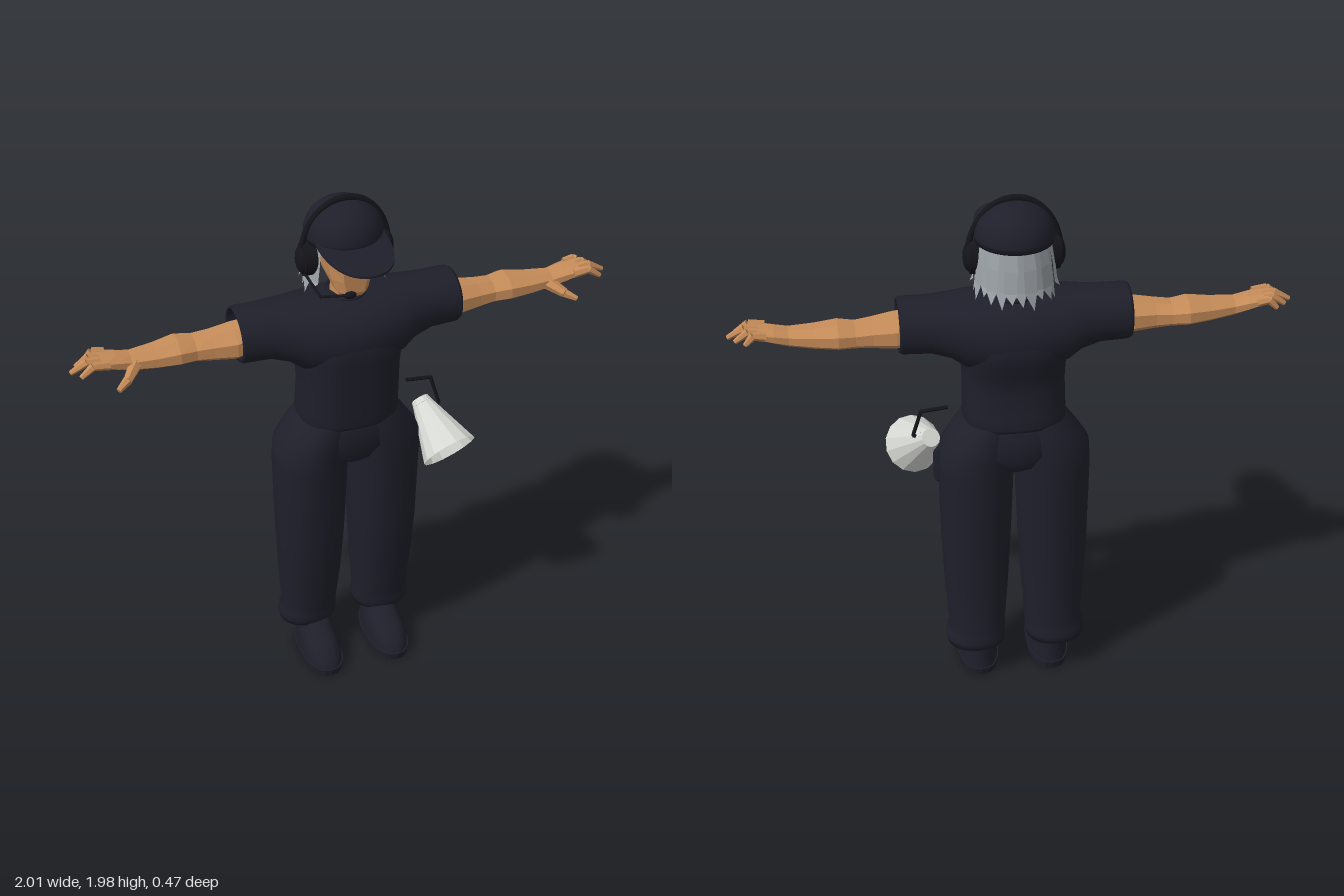
import * as THREE from 'three';

const mat = (name, color, side = THREE.FrontSide) => {
  const m = new THREE.MeshStandardMaterial({ color, side });
  m.name = name;
  return m;
};

// Skin cross-sections [t, a, b, ra, rb] stacked along the x or y axis.
function loft(axis, rows, { n = 24, p = 2, phase = 0, flat = false, start = false, end = false } = {}) {
  const pos = [], idx = [];
  const put = (t, a, b) => (axis === 'y' ? pos.push(a, t, b) : pos.push(t, a, b));
  const pw = v => Math.sign(v) * Math.abs(v) ** (2 / p);
  for (const [t, a, b, ra, rb] of rows)
    for (let j = 0; j < n; j++) {
      const q = phase + j / n * Math.PI * 2;
      put(t, a + ra * pw(Math.cos(q)), b + rb * pw(Math.sin(q)));
    }
  const flip = (axis === 'y') !== (rows.at(-1)[0] < rows[0][0]);
  const tri = (a, b, c) => (flip ? idx.push(a, c, b) : idx.push(a, b, c));
  for (let i = 0; i < rows.length - 1; i++)
    for (let j = 0; j < n; j++) {
      const k = (j + 1) % n, a = i * n, b = a + n;
      tri(a + j, a + k, b + k);
      tri(a + j, b + k, b + j);
    }
  const cap = (i, last) => {
    const c = pos.length / 3;
    put(rows[i][0], rows[i][1], rows[i][2]);
    for (let j = 0; j < n; j++) {
      const k = (j + 1) % n;
      last ? tri(c, i * n + j, i * n + k) : tri(c, i * n + k, i * n + j);
    }
  };
  if (start) cap(0, false);
  if (end) cap(rows.length - 1, true);
  let g = new THREE.BufferGeometry();
  g.setAttribute('position', new THREE.Float32BufferAttribute(pos, 3));
  g.setIndex(idx);
  if (flat) g = g.toNonIndexed();
  g.computeVertexNormals();
  return g;
}

// Tapered flat-sided rod from point a to point b.
function rod(a, b, ra, rb, n = 6, open = false) {
  const A = new THREE.Vector3(...a), d = new THREE.Vector3(...b).sub(A);
  const g = new THREE.CylinderGeometry(rb, ra, d.length(), n, 1, open).toNonIndexed();
  const q = new THREE.Quaternion().setFromUnitVectors(new THREE.Vector3(0, 1, 0), d.clone().normalize());
  g.applyQuaternion(q).translate(...A.addScaledVector(d, 0.5).toArray());
  g.computeVertexNormals();
  return g;
}

export function createModel() {
  const model = new THREE.Group();
  const cloth = mat('navy cloth', 0x1f1f2b);
  const black = mat('black plastic', 0x14141a);
  const skin = mat('skin', 0xc68c59);
  const grey = mat('grey hair', 0x9ba1a6, THREE.DoubleSide);
  const white = mat('horn white', 0xd6d8d3, THREE.DoubleSide);
  const add = (name, geo, m) => {
    const mesh = new THREE.Mesh(geo, m);
    mesh.name = name;
    model.add(mesh);
    return mesh;
  };

  // Shirt: shoulders along x with turned-in sleeve ends, trunk along y
  const half = [[0.33, 1.505, -0.055, 0.086, 0.094], [0.405, 1.505, -0.055, 0.088, 0.096], [0.411, 1.505, -0.055, 0.093, 0.101],
    [0.4, 1.505, -0.055, 0.099, 0.106], [0.3, 1.503, -0.055, 0.1, 0.11], [0.23, 1.493, -0.052, 0.113, 0.125],
    [0.185, 1.477, -0.05, 0.132, 0.142], [0.08, 1.465, -0.046, 0.15, 0.168]];
  const shoulders = [...half.map(([x, ...r]) => [-x, ...r]), [0, 1.463, -0.046, 0.153, 0.172],
    ...half.slice().reverse()];
  add('shirtShoulders', loft('x', shoulders, { p: 2.15, n: 32 }), cloth);
  add('shirtTrunk', loft('y', [[1.115, 0, -0.045, 0.165, 0.13], [1.105, 0, -0.045, 0.178, 0.143], [1.12, 0, -0.045, 0.186, 0.149],
    [1.16, 0, -0.043, 0.186, 0.148], [1.26, 0, -0.032, 0.184, 0.146], [1.33, 0, -0.037, 0.186, 0.156],
    [1.39, 0, -0.045, 0.193, 0.17], [1.44, 0, -0.046, 0.196, 0.175], [1.48, 0, -0.046, 0.18, 0.165]],
    { p: 2.6, n: 40 }), cloth);
  const collar = add('collar', new THREE.TorusGeometry(0.073, 0.01, 8, 24).rotateX(Math.PI / 2), cloth);
  collar.position.set(0, 1.606, -0.055);

  // Trousers
  add('hips', loft('y', [[0.9, 0, -0.055, 0.03, 0.07], [0.94, 0, -0.055, 0.11, 0.125], [1.0, 0, -0.052, 0.2, 0.15],
    [1.06, 0, -0.048, 0.21, 0.149], [1.1, 0, -0.046, 0.19, 0.143], [1.125, 0, -0.045, 0.175, 0.135]],
    { p: 2.2, n: 32, start: true, end: true }), cloth);
  for (const s of [1, -1]) {
    const side = s > 0 ? 'left' : 'right';
    add(side + 'TrouserLeg', loft('y', [[0.14, s * 0.152, -0.09, 0.108, 0.095], [0.165, s * 0.152, -0.085, 0.114, 0.1],
      [0.19, s * 0.15, -0.083, 0.112, 0.1], [0.22, s * 0.146, -0.08, 0.107, 0.097], [0.4, s * 0.145, -0.065, 0.12, 0.115],
      [0.6, s * 0.144, -0.058, 0.13, 0.132], [0.8, s * 0.142, -0.056, 0.136, 0.143], [0.92, s * 0.141, -0.054, 0.139, 0.149],
      [0.99, s * 0.138, -0.052, 0.138, 0.151], [1.05, s * 0.118, -0.049, 0.118, 0.148], [1.1, s * 0.1, -0.046, 0.098, 0.14],
      [1.125, s * 0.09, -0.045, 0.088, 0.13]], { p: 2.15, start: true }), cloth);

    // Shoes
    add(side + 'Sole', loft('y', [[0, s * 0.137, 0.003, 0.076, 0.158], [0.03, s * 0.137, 0.003, 0.079, 0.163]],
      { p: 2.4, flat: true, start: true, end: true }), cloth);
    add(side + 'Shoe', loft('y', [[0.025, s * 0.137, 0.003, 0.075, 0.159], [0.065, s * 0.137, 0, 0.073, 0.153],
      [0.1, s * 0.137, -0.025, 0.068, 0.128], [0.13, s * 0.137, -0.057, 0.062, 0.095], [0.17, s * 0.137, -0.08, 0.058, 0.07]],
      { p: 2.3, end: true }), cloth);

    // Bare arm, palm, fingers and thumb
    add(side + 'Arm', loft('x', [[0.34, 1.495, -0.055, 0.062, 0.072], [0.42, 1.487, -0.052, 0.064, 0.08],
      [0.5, 1.485, -0.055, 0.054, 0.066], [0.56, 1.485, -0.06, 0.047, 0.063], [0.62, 1.49, -0.06, 0.051, 0.075],
      [0.7, 1.487, -0.055, 0.043, 0.06], [0.79, 1.49, -0.05, 0.034, 0.046], [0.84, 1.503, -0.05, 0.03, 0.052],
      [0.895, 1.517, -0.048, 0.019, 0.057]].map(([x, ...r]) => [s * x, ...r]),
      { n: 8, phase: Math.PI / 8, flat: true, start: true, end: true }), skin);
    [[-0.09, -0.1, 0.94], [-0.062, -0.07, 0.975], [-0.034, -0.036, 1], [-0.006, 0.004, 0.972]].forEach(([z, zt, x], i) => {
      const mid = [s * (0.88 + x) / 2, 1.524, (z + zt) / 2];
      add(`${side}Finger${i + 1}Base`, rod([s * 0.87, 1.515, z], mid, 0.018, 0.015), skin);
      add(`${side}Finger${i + 1}Tip`, rod(mid, [s * x, 1.492, zt], 0.015, 0.009), skin);
    });
    add(side + 'ThumbBase', rod([s * 0.775, 1.487, -0.025], [s * 0.82, 1.464, 0.033], 0.026, 0.017), skin);
    add(side + 'ThumbTip', rod([s * 0.82, 1.464, 0.033], [s * 0.858, 1.447, 0.058], 0.017, 0.01), skin);

    // Eye on the slanted face plane
    const lid = new THREE.Shape([[-0.024, -0.018], [0.022, 0.018], [-0.01, 0.012]].map(([x, y]) => new THREE.Vector2(s * x, y)));
    const eye = add(side + 'Eye', new THREE.ExtrudeGeometry(lid, { depth: 0.006, bevelEnabled: false }), black);
    eye.position.set(s * 0.0665, 1.795, 0.034);
    eye.rotation.y = s * 0.9;

    // Ear cup
    const cup = add(side + 'EarCup', new THREE.CylinderGeometry(0.046, 0.05, 0.045, 20).rotateZ(-s * Math.PI / 2), black);
    cup.position.set(s * 0.135, 1.755, -0.06);
    cup.scale.y = 1.35;
    const shell = add(side + 'EarShell', new THREE.SphereGeometry(0.04, 16, 10), black);
    shell.position.set(s * 0.155, 1.755, -0.06);
    shell.scale.set(0.6, 1.35, 1);
  }

  // Head and neck
  add('neck', loft('y', [[1.56, 0, -0.06, 0.06, 0.06], [1.68, 0, -0.05, 0.056, 0.056]], { n: 8, flat: true }), skin);
  add('head', loft('y', [[1.632, 0, 0.005, 0.05, 0.04], [1.65, 0, -0.008, 0.06, 0.064], [1.7, 0, -0.035, 0.08, 0.095],
    [1.76, 0, -0.055, 0.09, 0.119], [1.85, 0, -0.055, 0.092, 0.12]],
    { n: 8, p: 3, phase: Math.PI / 8, flat: true, start: true, end: true }), skin);

  // Hair: a fringe of pointed locks around the sides and back
  const locks = 17, from = 1.05, step = (Math.PI * 2 - from * 2) / locks, hair = [];
  const at = (q, r, y) => [r * Math.sin(q), y, -0.075 + r * 1.02 * Math.cos(q)];
  for (let i = 0; i < locks; i++) {
    const a = from + i * step, b = a + step, m = (a + b) / 2, bump = 0.007 * (i % 2);
    const back = (1 - Math.cos(m)) / 2, tip = 1.645 - 0.028 * back + 0.014 * ((i * 2) % 3);
    const T = [at(a - 0.03, 0.118, 1.85), at(b + 0.03, 0.118, 1.85)];
    const M = [at(a - 0.05, 0.13 + bump, 1.76), at(b + 0.05, 0.13 + bump, 1.76)];
    const L = [at(a - 0.03, 0.139 + bump, 1.68), at(b + 0.03, 0.139 + bump, 1.68)];
    for (const [u, v] of [[T, M], [M, L]]) hair.push(u[0], v[0], v[1], u[0], v[1], u[1]);
    hair.push(L[0], at(m + 0.05, 0.15 + bump, tip), L[1]);
  }
  const hairGeo = new THREE.BufferGeometry();
  hairGeo.setAttribute('position', new THREE.Float32BufferAttribute(hair.flat(), 3));
  hairGeo.computeVertexNormals();
  add('hair', hairGeo, grey);

  // Cap crown and curved brim
  const crown = add('capCrown', new THREE.SphereGeometry(0.14, 32, 12, 0, Math.PI * 2, 0, Math.PI / 2), cloth);
  crown.position.set(0, 1.835, -0.07);
  crown.scale.y = 0.89;
  add('capBand', loft('y', [[1.82, 0, -0.07, 0.138, 0.138], [1.84, 0, -0.07, 0.141, 0.141]], { n: 32, start: true }), cloth);
  const outline = new THREE.Shape();
  outline.moveTo(-0.125, -0.03);
  outline.bezierCurveTo(-0.135, 0.12, -0.09, 0.235, 0, 0.235);
  outline.bezierCurveTo(0.09, 0.235, 0.135, 0.12, 0.125, -0.03);
  const brim = new THREE.ExtrudeGeometry(outline, { depth: 0.009, bevelEnabled: false, curveSegments: 14 }).rotateX(Math.PI / 2);
  const bp = brim.attributes.position;
  for (let i = 0; i < bp.count; i++)
    bp.setY(i, bp.getY(i) + 1.85 - 0.12 * bp.getZ(i) - 0.6 * bp.getX(i) ** 2);
  brim.computeVertexNormals();
  add('capBrim', brim, cloth);

  // Headset band and microphone
  const band = add('headsetBand', new THREE.TorusGeometry(0.162, 0.011, 8, 32, Math.PI), black);
  band.position.set(0, 1.755, -0.06);
  band.scale.y = 1.3;
  add('microphoneBoomSide', rod([-0.155, 1.71, -0.05], [-0.145, 1.693, 0.1], 0.005, 0.005), black);
  add('microphoneBoomFront', rod([-0.147, 1.693, 0.1], [-0.05, 1.69, 0.12], 0.005, 0.005), black);
  const mic = add('microphone', new THREE.SphereGeometry(0.013, 12, 8), black);
  mic.position.set(-0.045, 1.69, 0.12);
  mic.scale.x = 1.8;

  // Megaphone on the left hip
  add('megaphoneHorn', rod([0.31, 1.035, -0.06], [0.355, 0.917, 0.1], 0.04, 0.107, 14, true), white);
  add('megaphoneBack', rod([0.305, 1.048, -0.078], [0.31, 1.035, -0.06], 0.034, 0.04, 14), white);
  add('megaphoneTrigger', rod([0.275, 0.938, 0.05], [0.312, 0.936, 0.06], 0.009, 0.011, 8), black);
  const grip = add('megaphoneGrip', new THREE.CapsuleGeometry(0.022, 0.116, 4, 10), cloth);
  grip.position.set(0.275, 0.922, -0.052);
  add('megaphoneBailTop', rod([0.24, 1.16, -0.06], [0.337, 1.15, -0.06], 0.007, 0.007), black);
  add('megaphoneBailSide', rod([0.337, 1.153, -0.06], [0.367, 1.04, -0.042], 0.007, 0.007), black);
  add('megaphoneBailFoot', rod([0.367, 1.04, -0.042], [0.33, 1.03, -0.045], 0.007, 0.007), black);

  return model;
}
